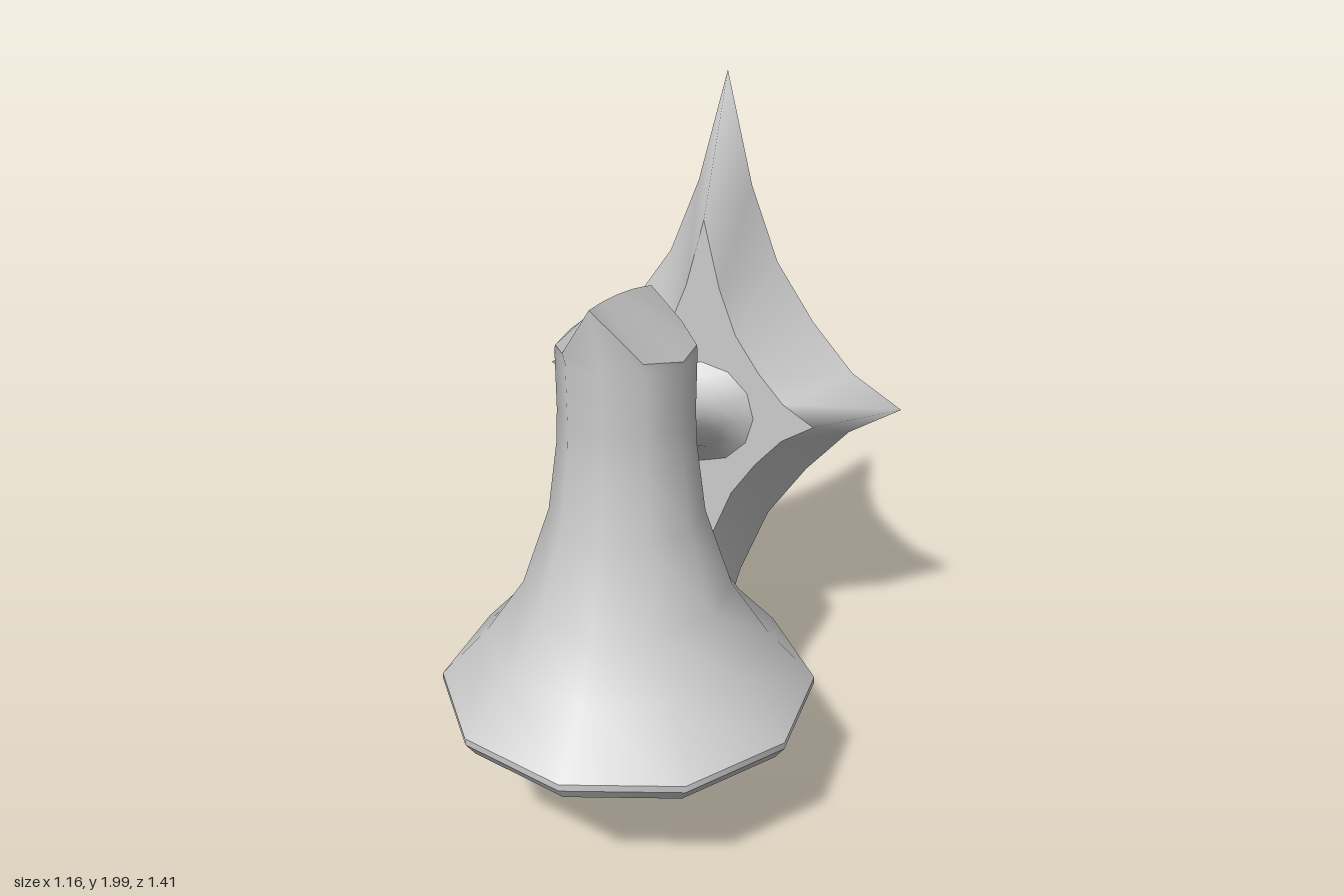
import * as THREE from 'three';

const CENTER_Z = 0.172; // axis of the lamp shade
const SIDES = 10;

const grey = (side = THREE.FrontSide) => new THREE.MeshStandardMaterial({ color: 0xcccccc, side });

function addMesh(group, name, geometry, side) {
  const mesh = new THREE.Mesh(geometry, grey(side));
  mesh.name = name;
  group.add(mesh);
  return mesh;
}

function build(positions, index) {
  const g = new THREE.BufferGeometry();
  g.setAttribute('position', new THREE.Float32BufferAttribute(positions.flat(), 3));
  g.setIndex(index);
  g.computeVertexNormals();
  return g;
}

// Joins equal closed loops of points with a smooth skin (loops run counter-clockwise seen from +z, front to back)
function loft(loops) {
  const n = loops[0].length, index = [];
  for (let r = 0; r < loops.length - 1; r++) {
    for (let i = 0; i < n; i++) {
      const j = (i + 1) % n, a = r * n + i, b = r * n + j;
      index.push(a, a + n, b, b, a + n, b + n);
    }
  }
  return build(loops.flat(), index);
}

const lathe = (profile) =>
  new THREE.LatheGeometry(profile.map(([r, y]) => new THREE.Vector2(r, y)), SIDES)
    .translate(0, 0, CENTER_Z);

// Half of the slanted top rim, from the front beak to the rear beak: x, y, z
const TOP_RIM = [
  [0, 1.67, 0.43], [0.108, 1.51, 0.343], [0.174, 1.48, 0.228],
  [0.174, 1.483, 0.116], [0.105, 1.508, 0.03], [0, 1.573, -0.03],
];

function shadeGeometry() {
  const profile = [
    [0.533, 0.46], [0.398, 0.61], [0.29, 0.77], [0.213, 1.0],
    [0.187, 1.2], [0.183, 1.3], [0.185, 1.47], [0.187, 1.49],
  ];
  const g = lathe(profile), pos = g.attributes.position, rows = profile.length;
  // The last row follows the slanted rim
  for (let i = 0; i <= SIDES; i++) {
    const k = i <= SIDES / 2 ? i : SIDES - i;
    const [x, y, z] = TOP_RIM[k];
    pos.setXYZ(i * rows + rows - 1, i <= SIDES / 2 ? x : -x, y, z);
  }
  return g;
}

// One slope of the ridged cap, sign picks the side
function capSlope(sign) {
  const points = [], index = [];
  for (const [x, y, z] of TOP_RIM) {
    const t = (z + 0.03) / 0.46;
    points.push([sign * x, y, z], [0, 1.573 + 0.097 * t + 0.05 * t * (1 - t), z]);
  }
  for (let i = 0; i < TOP_RIM.length - 1; i++) {
    const a = 2 * i, tris = [[a, a + 2, a + 1], [a + 1, a + 2, a + 3]];
    if (i === 0) tris.shift();
    if (i === TOP_RIM.length - 2) tris.pop();
    for (const [p, q, r] of tris) index.push(...(sign > 0 ? [p, q, r] : [p, r, q]));
  }
  // Beak ends share one point between rim and ridge
  if (sign > 0) index.unshift(0, 2, 3); else index.unshift(0, 3, 2);
  index.splice(3, 3);
  return build(points, index);
}

// Four-pointed concave outline, counter-clockwise, about (0, 0)
function starOutline() {
  const quarter = [[0.578, 0], [0.42, 0.1], [0.29, 0.25], [0.17, 0.43], [0.083, 0.66], [0, 0.995]];
  const upper = [...quarter, ...quarter.slice(0, -1).reverse().map(([x, y]) => [-x, y])];
  return [...upper, ...upper.slice(1, -1).reverse().map(([x, y]) => [x, -y])];
}

export function createModel() {
  const model = new THREE.Group();
  model.name = 'wallLamp';

  // Flared shade, open below
  addMesh(model, 'shade', shadeGeometry(), THREE.DoubleSide);
  addMesh(model, 'shadeRim', lathe([[0.533, 0.44], [0.533, 0.46]]), THREE.DoubleSide);
  addMesh(model, 'shadeRimBevel', lathe([[0.505, 0.4], [0.533, 0.44]]), THREE.DoubleSide);

  // Ridged cap over the shade
  const cap = new THREE.Group();
  cap.name = 'shadeCap';
  for (const sign of [1, -1]) {
    addMesh(cap, sign > 0 ? 'leftCapSlope' : 'rightCapSlope', capSlope(sign), THREE.DoubleSide);
  }
  model.add(cap);

  // Arm flaring into shade and wall plate: z, centre y, half width, half height
  const sections = [
    [0.04, 1.2, 0.13, 0.125], [0.0, 1.195, 0.105, 0.105], [-0.05, 1.165, 0.08, 0.08],
    [-0.11, 1.13, 0.065, 0.066], [-0.22, 1.077, 0.054, 0.06], [-0.32, 1.04, 0.072, 0.075],
    [-0.415, 1.007, 0.095, 0.094], [-0.46, 1.003, 0.13, 0.132], [-0.493, 1.002, 0.168, 0.167],
  ];
  addMesh(model, 'arm', loft(sections.map(([z, cy, rx, ry]) =>
    Array.from({ length: 12 }, (_, i) => {
      const a = (i / 12) * Math.PI * 2;
      return [rx * Math.cos(a), cy + ry * Math.sin(a), z];
    }))));

  // Star-shaped wall plate tapering towards the front
  const plate = new THREE.Group();
  plate.name = 'wallPlate';
  plate.position.y = 1.003;
  const outline = starOutline();
  const scaled = (s) => outline.map(([x, y]) => [x * s, y * s]);
  const face = (s) => new THREE.ShapeGeometry(
    new THREE.Shape(scaled(s).map(([x, y]) => new THREE.Vector2(x, y))));
  const FRONT = 0.612, Z_FRONT = -0.492, Z_BACK = -0.705;
  addMesh(plate, 'plateSides', loft([
    scaled(FRONT).map(([x, y]) => [x, y, Z_FRONT]),
    scaled(1).map(([x, y]) => [x, y, Z_BACK]),
  ]));
  addMesh(plate, 'plateFront', face(FRONT).translate(0, 0, Z_FRONT));
  addMesh(plate, 'plateBack', face(1).rotateY(Math.PI).translate(0, 0, Z_BACK));
  model.add(plate);

  return model;
}
